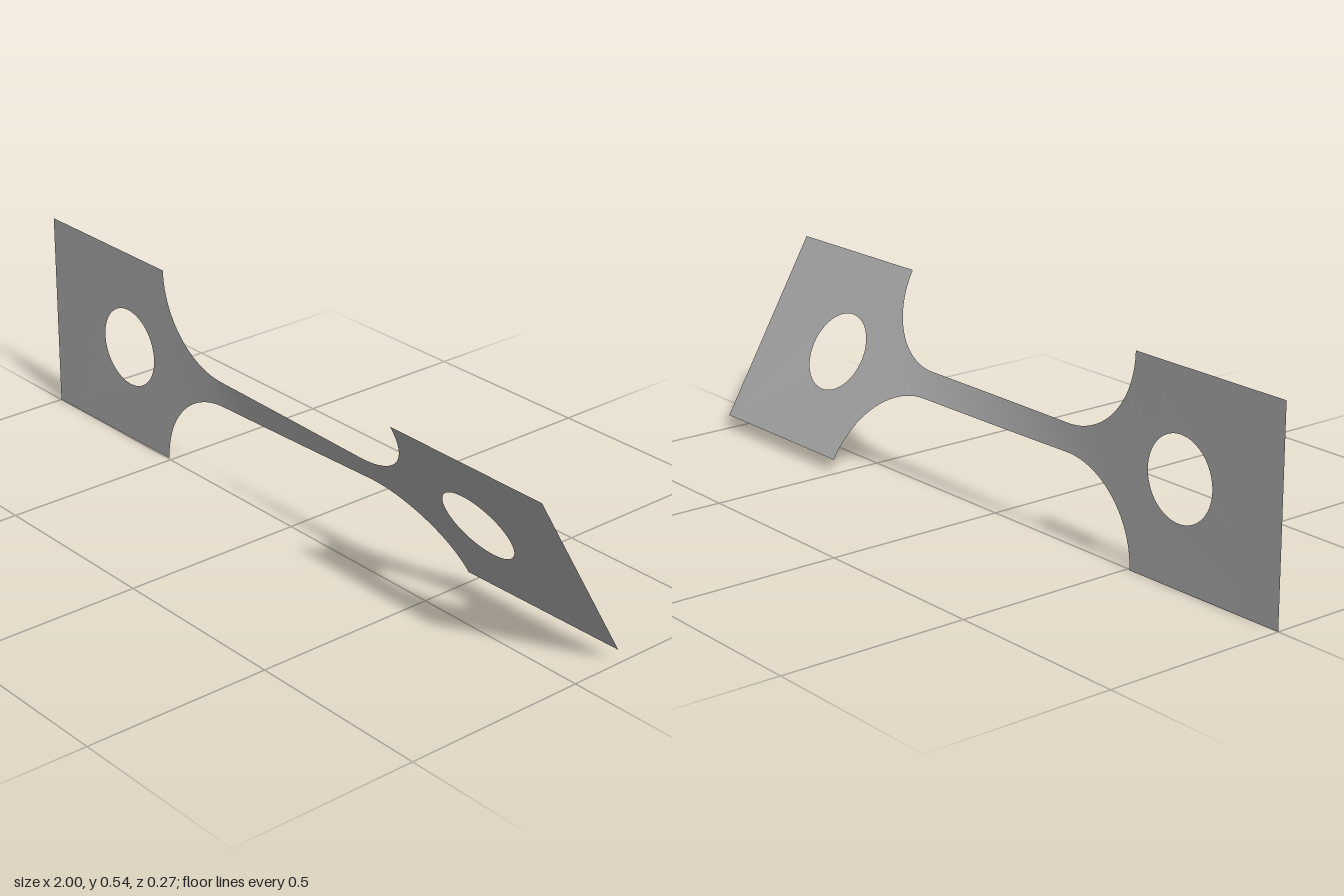
import * as THREE from 'three';

const HALF = 0.271;        // half width of the grip ends
const NECK = 0.036;        // half width of the gauge section
const SHOULDER = 0.509;    // where the grips begin
const R = HALF - NECK;     // fillet radius
const TWIST = THREE.MathUtils.degToRad(30.4);

// Half width of the strip at x
function halfWidth(x) {
  const d = Math.abs(x) - (SHOULDER - R);
  if (d <= 0) return NECK;
  if (d >= R) return HALF;
  return HALF - Math.sqrt(R * R - d * d);
}

// Twist accumulates mostly where the strip is narrow
const STEPS = 800;
const turn = [0];
for (let i = 0; i < STEPS; i++) {
  const x = -1 + (2 * (i + 0.5)) / STEPS;
  turn.push(turn[i] + halfWidth(x) ** -1.5);
}
function angleAt(x) {
  const f = THREE.MathUtils.clamp(((x + 1) / 2) * STEPS, 0, STEPS);
  const i = Math.min(Math.floor(f), STEPS - 1);
  return (TWIST * (turn[i] + (turn[i + 1] - turn[i]) * (f - i))) / turn[STEPS];
}

// Twist a flat geometry about the long axis and raise it to stand on the ground
function twist(geometry) {
  const p = geometry.attributes.position;
  for (let i = 0; i < p.count; i++) {
    const a = angleAt(p.getX(i));
    const y = p.getY(i);
    p.setXYZ(i, p.getX(i), HALF + y * Math.cos(a), y * Math.sin(a));
  }
  geometry.computeVertexNormals();
  return geometry;
}

// Grip plate with a round hole
function gripGeometry(side) {
  const mid = (side * (1 + SHOULDER)) / 2;
  const w = (1 - SHOULDER) / 2;
  const shape = new THREE.Shape([
    new THREE.Vector2(mid - w, -HALF), new THREE.Vector2(mid + w, -HALF),
    new THREE.Vector2(mid + w, HALF), new THREE.Vector2(mid - w, HALF),
  ]);
  const hole = new THREE.Path();
  hole.absarc(side * 0.67, 0, 0.108, 0, Math.PI * 2, true);
  shape.holes.push(hole);
  return twist(new THREE.ShapeGeometry(shape, 32));
}

// Narrow gauge section with its filleted shoulders
function gaugeGeometry() {
  const columns = 120;
  const g = new THREE.PlaneGeometry(2, 2, columns, 10);
  const p = g.attributes.position;
  for (let i = 0; i < p.count; i++) {
    // Columns crowd towards the steep ends of the fillets
    const x = SHOULDER * Math.sin((p.getX(i) * Math.PI) / 2);
    p.setXYZ(i, x, p.getY(i) * halfWidth(x), 0);
  }
  return twist(g);
}

export function createModel() {
  const metal = new THREE.MeshStandardMaterial({ color: 0xb0b0b0, side: THREE.DoubleSide });
  metal.name = 'grey metal';
  const model = new THREE.Group();
  model.name = 'twisted test strip';
  const add = (name, geometry) => {
    const mesh = new THREE.Mesh(geometry, metal);
    mesh.name = name;
    model.add(mesh);
  };
  add('rightGrip', gripGeometry(-1));
  add('gaugeSection', gaugeGeometry());
  add('leftGrip', gripGeometry(1));
  return model;
}
